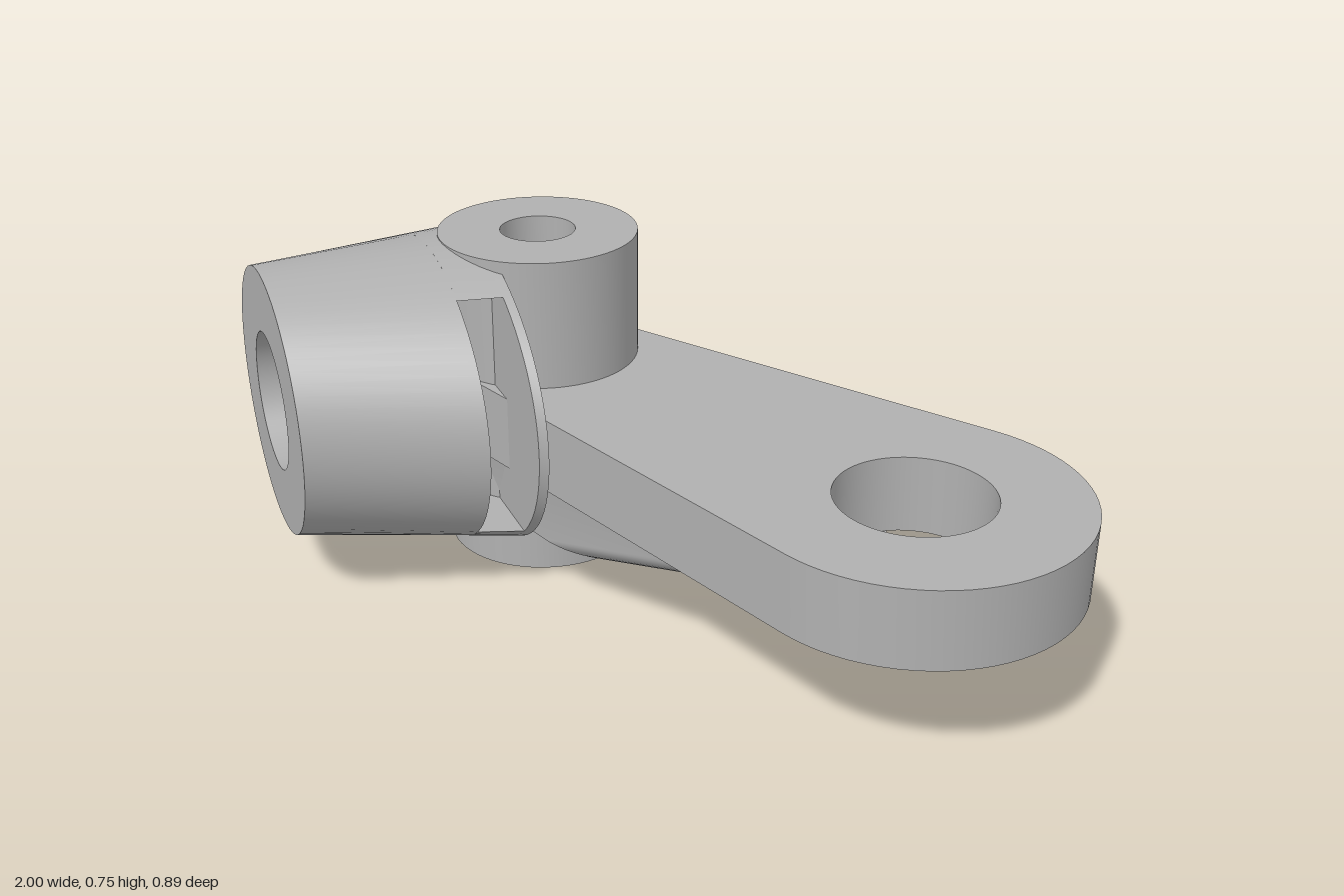
import * as THREE from 'three';
import { toCreasedNormals } from 'three/addons/utils/BufferGeometryUtils.js';

const V2 = (x, y) => new THREE.Vector2(x, y);

// Points along an elliptical arc, angles in radians
function arc(cx, cy, rx, ry, a0, a1, n) {
  const pts = [];
  for (let i = 0; i <= n; i++) {
    const a = a0 + (a1 - a0) * i / n;
    pts.push(V2(cx + rx * Math.cos(a), cy + ry * Math.sin(a)));
  }
  return pts;
}
const ring = (cx, cy, rx, ry = rx, n = 72) => arc(cx, cy, rx, ry, 0, Math.PI * 2, n).slice(0, -1);

// Counter-clockwise outline of a belt around two circles
function belt(x1, y1, r1, x2, y2, r2) {
  const a = Math.atan2(y2 - y1, x2 - x1);
  const b = Math.acos((r1 - r2) / Math.hypot(x2 - x1, y2 - y1));
  return [...arc(x2, y2, r2, r2, a - b, a + b, 40),
    ...arc(x1, y1, r1, r1, a + b, a + 2 * Math.PI - b, 40)];
}

// Solid between two outlines with equal point counts, with optional holes in the caps
function loft(outA, zA, outB, zB, holesA = [], holesB = []) {
  const pos = [];
  const put = (p, z) => pos.push(p.x, p.y, z);
  outA.forEach((p, i) => {
    const j = (i + 1) % outA.length;
    put(p, zA); put(outA[j], zA); put(outB[j], zB);
    put(p, zA); put(outB[j], zB); put(outB[i], zB);
  });
  const cap = (out, holes, z, flip) => {
    const cw = holes.map(h => h.slice().reverse());
    const all = [out, ...cw].flat();
    for (const f of THREE.ShapeUtils.triangulateShape(out.slice(), cw.map(h => h.slice()))) {
      for (const k of flip ? [f[2], f[1], f[0]] : f) put(all[k], z);
    }
  };
  cap(outA, holesA, zA, true);
  cap(outB, holesB, zB, false);
  const g = new THREE.BufferGeometry();
  g.setAttribute('position', new THREE.Float32BufferAttribute(pos, 3));
  return toCreasedNormals(g, 0.6);
}

function extrude(outline, holes, depth) {
  const s = new THREE.Shape(outline);
  s.holes = holes.map(h => new THREE.Path(h));
  return toCreasedNormals(new THREE.ExtrudeGeometry(s, { depth, bevelEnabled: false }), 0.6);
}

export function createModel() {
  const group = new THREE.Group();
  const grey = new THREE.MeshStandardMaterial({ color: 0xb0b0b0, side: THREE.DoubleSide });
  grey.name = 'grey';
  const add = (parent, name, geo) => {
    const m = new THREE.Mesh(geo, grey);
    m.name = name;
    parent.add(m);
    return m;
  };

  // Upright parts are drawn in plan (y = -z) and stood up
  const upright = new THREE.Group();
  upright.name = 'pivotAndArm';
  upright.rotation.x = -Math.PI / 2;
  group.add(upright);
  const px = -0.355, py = 0.225, pr = 0.225;
  const bore = ring(px, py, 0.085, 0.085, 48);
  add(upright, 'pivotPost', extrude(ring(px, py, pr), [bore], 0.75));

  // Flat arm with a large eye
  const ax = 0.645, ay = -0.093;
  add(upright, 'arm', extrude(belt(px, py, pr, ax, ay, 0.352),
    [bore, ring(ax, ay, 0.163)], 0.17)).position.z = 0.288;

  // Sloping rib below the arm
  add(upright, 'rib', loft(belt(px, py, 0.195, -0.08, 0.15, 0.25), 0.142,
    belt(px, py, 0.22, 0.315, -0.03, 0.25), 0.287, [bore], [bore]));

  // Flared boss: local z points out of its face, z = 0 is the wide end
  const boss = new THREE.Group();
  boss.name = 'boss';
  boss.position.set(-0.452, 0, -0.12);
  boss.rotation.y = -0.7266;
  group.add(boss);
  const depth = 0.485, slotA = 0.02, slotB = 0.116, hy = 0.435;
  const dims = z => {
    const t = z / depth, l = THREE.MathUtils.lerp;
    return { cy: l(0.405, hy, t), rx: l(0.448, 0.302, t), ry: l(0.345, 0.3, t) };
  };
  const section = z => {
    const { cy, rx, ry } = dims(z);
    return ring(0, cy, rx, ry);
  };
  // Section with a round-ended slot open on one side
  const slotted = z => {
    const { cy, rx, ry } = dims(z);
    const a0 = Math.asin((hy + 0.26 - cy) / ry);
    const a1 = 2 * Math.PI + Math.asin((hy - 0.26 - cy) / ry);
    return [...arc(0, cy, rx, ry, a0, a1, 64),
      ...arc(0, hy, 0.26, 0.26, 1.5 * Math.PI, 0.5 * Math.PI, 32)];
  };
  add(boss, 'bossFlange', loft(section(0), 0, section(slotA), slotA));
  add(boss, 'bossSlot', loft(slotted(slotA), slotA, slotted(slotB), slotB));
  add(boss, 'bossBody', loft(section(slotB), slotB, section(depth), depth,
    [ring(0, hy, 0.085)], [ring(0, hy, 0.155)]));

  // Stepped bore through the boss face
  const lining = new THREE.LatheGeometry(
    [V2(0.085, slotB), V2(0.085, 0.357), V2(0.155, 0.357), V2(0.155, depth)], 72);
  lining.rotateX(Math.PI / 2);
  add(boss, 'steppedBore', toCreasedNormals(lining, 0.6)).position.y = hy;

  return group;
}
